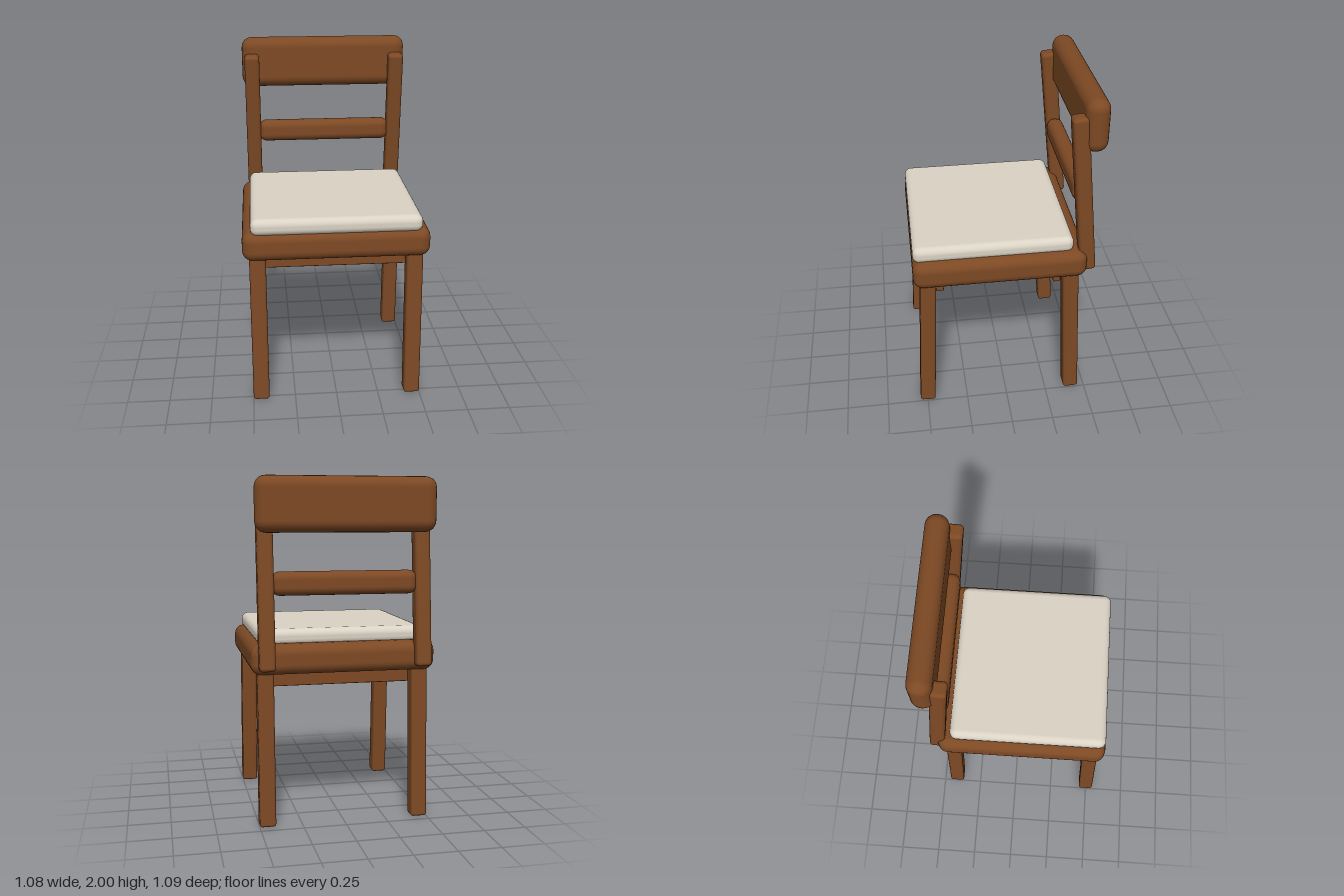
import * as THREE from 'three';
import { RoundedBoxGeometry } from 'three/addons/geometries/RoundedBoxGeometry.js';

export function createModel() {
  const chair = new THREE.Group();
  chair.name = 'chair';

  const wood = new THREE.MeshStandardMaterial({ color: 0x7d4924 });
  wood.name = 'brown wood';
  const fabric = new THREE.MeshStandardMaterial({ color: 0xdad2c4 });
  fabric.name = 'cream fabric';

  // Rounded block: size and centre as [x, y, z], optional lean about x
  function block(name, material, size, centre, radius, lean = 0) {
    const mesh = new THREE.Mesh(new RoundedBoxGeometry(...size, 3, radius), material);
    mesh.name = name;
    mesh.position.set(...centre);
    mesh.rotation.x = lean;
    chair.add(mesh);
  }

  // Seat frame and cushion
  block('seat', wood, [1.076, 0.175, 1.012], [0, 0.978, 0.039], 0.06);
  block('cushion', fabric, [0.98, 0.1, 0.93], [0, 1.095, 0.075], 0.042);

  // Legs splay to front and back; posts lean forward towards the top
  for (const [side, sx] of [['left', 1], ['right', -1]]) {
    const x = sx * 0.453;
    block(side + 'FrontLeg', wood, [0.095, 0.95, 0.093], [x, 0.477, 0.478], 0.016, -0.043);
    block(side + 'BackLeg', wood, [0.095, 0.95, 0.093], [x, 0.477, -0.394], 0.016, 0.043);
    block(side + 'BackPost', wood, [0.092, 0.985, 0.092], [x, 1.411, -0.43], 0.022, 0.095);
  }

  // Aprons under the seat
  block('frontApron', wood, [0.86, 0.14, 0.045], [0, 0.875, 0.39], 0.006);
  block('backApron', wood, [0.86, 0.14, 0.045], [0, 0.875, -0.307], 0.006);

  // Back rails
  block('middleRail', wood, [0.835, 0.135, 0.1], [0, 1.408, -0.43], 0.045);
  block('headRail', wood, [1.03, 0.31, 0.135], [0, 1.845, -0.478], 0.064);

  return chair;
}
